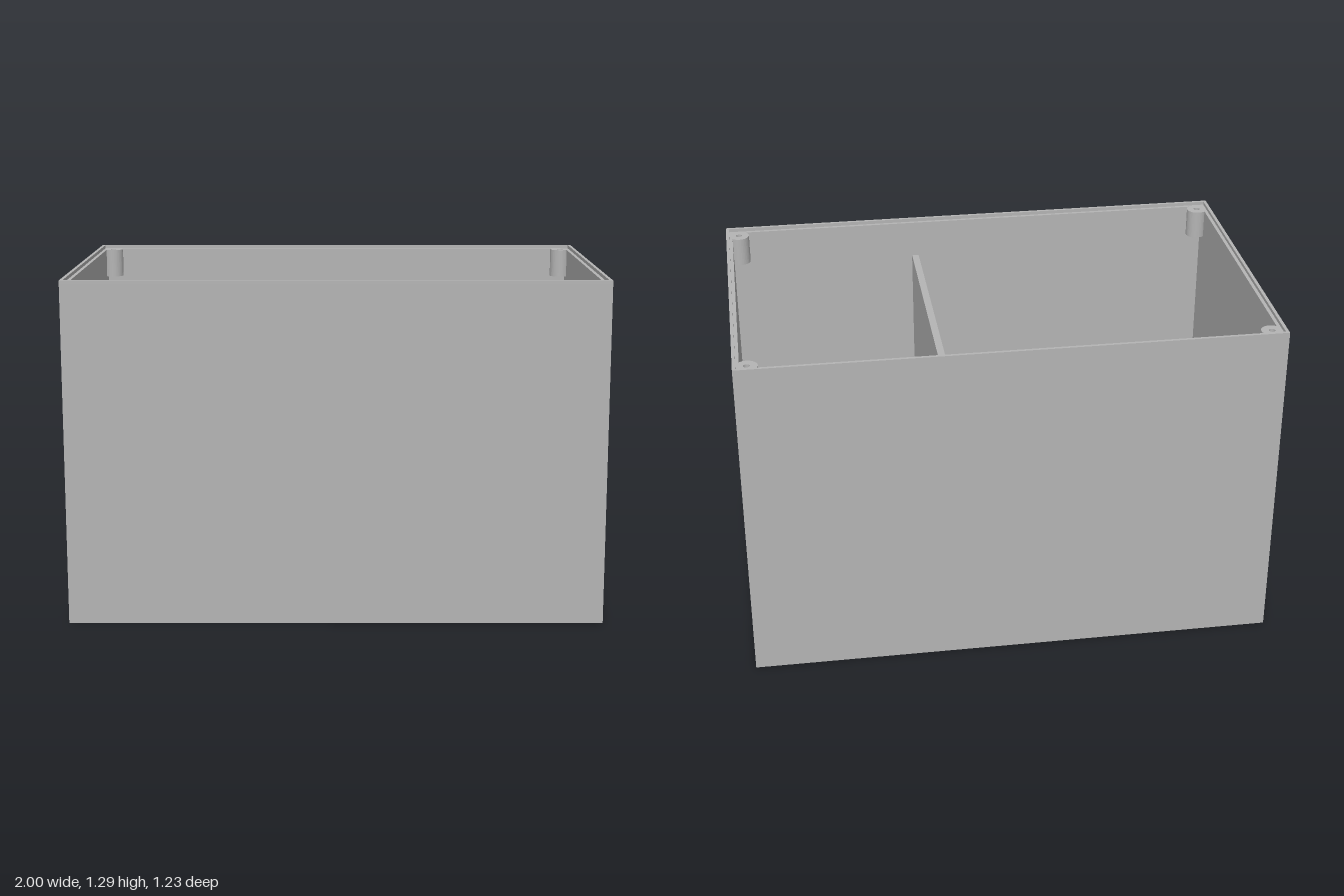
import * as THREE from 'three';

const W = 2, H = 1.29, D = 1.234;   // outer size
const T = 0.025;                    // wall thickness
const LIP = 0.012, STEP = 0.013;    // thin rim above the inner ledge
const LEDGE = H - STEP;

export function createModel() {
  const model = new THREE.Group();
  const grey = new THREE.MeshStandardMaterial({ color: 0xb4b4b4 });
  grey.name = 'grey plastic';

  const add = (name, geometry, x, y, z) => {
    const mesh = new THREE.Mesh(geometry, grey);
    mesh.name = name;
    mesh.position.set(x, y, z);
    model.add(mesh);
    return mesh;
  };
  const extrude = (shape, depth) =>
    new THREE.ExtrudeGeometry(shape, { depth, bevelEnabled: false, curveSegments: 20 });
  const rectangle = (ShapeType, w, h) => new ShapeType([
    new THREE.Vector2(-w / 2, -h / 2), new THREE.Vector2(w / 2, -h / 2),
    new THREE.Vector2(w / 2, h / 2), new THREE.Vector2(-w / 2, h / 2),
  ]);
  const circle = (PathType, x, y, r) => new PathType().absarc(x, y, r, 0, Math.PI * 2);

  // Floor and the three plain walls
  const innerW = W - 2 * T, innerD = D - 2 * T;
  add('floor', new THREE.BoxGeometry(innerW, T, innerD), 0, T / 2, 0);
  add('frontWall', new THREE.BoxGeometry(innerW, LEDGE, T), 0, LEDGE / 2, (D - T) / 2);
  add('backWall', new THREE.BoxGeometry(innerW, LEDGE, T), 0, LEDGE / 2, -(D - T) / 2);
  add('plainSideWall', new THREE.BoxGeometry(T, LEDGE, D), -(W - T) / 2, LEDGE / 2, 0);

  // Side wall with two round cable holes
  const side = rectangle(THREE.Shape, D, LEDGE);
  for (const z of [-0.3, 0.3]) {
    side.holes.push(circle(THREE.Path, z, 0.385 - LEDGE / 2, 0.045));
  }
  add('drilledSideWall', extrude(side, T), W / 2 - T, LEDGE / 2, 0).rotation.y = Math.PI / 2;

  // Thin lip around the opening
  const rim = rectangle(THREE.Shape, W, D);
  rim.holes.push(rectangle(THREE.Path, W - 2 * LIP, D - 2 * LIP));
  add('rimLip', extrude(rim, STEP), 0, LEDGE, 0).rotation.x = -Math.PI / 2;

  // Partition, lower than the rim
  const top = 1.132;
  add('divider', new THREE.BoxGeometry(0.027, top - T, innerD), 0.232, (top + T) / 2, 0);

  // Screw posts in the four top corners
  const postShape = circle(THREE.Shape, 0, 0, 0.04);
  postShape.holes.push(circle(THREE.Path, 0, 0, 0.012));
  const postBottom = 1.165;
  const postGeometry = extrude(postShape, LEDGE - postBottom);
  for (const x of [-0.949, 0.949]) {
    for (const z of [-0.564, 0.564]) {
      add('screwPost', postGeometry, x, postBottom, z).rotation.x = -Math.PI / 2;
    }
  }
  return model;
}
